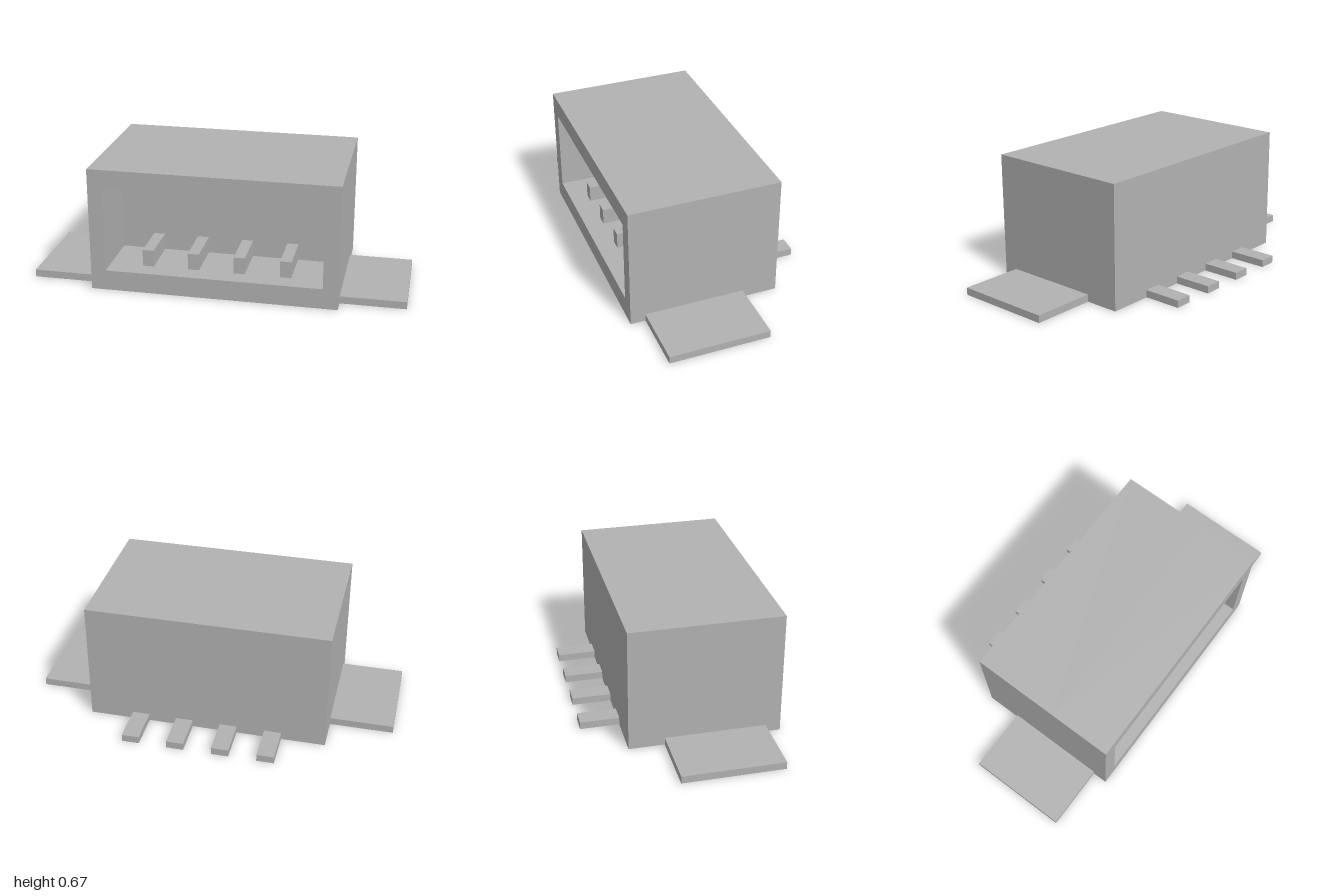
import * as THREE from 'three';

export function createModel() {
  const model = new THREE.Group();
  const grey = new THREE.MeshStandardMaterial({ color: 0xb2b2b2 });
  grey.name = 'plain grey';

  const W = 0.655, H = 0.67, FRONT = 0.51, BACK = -0.30, CAVITY = 0.17;

  const add = (name, geometry) => {
    const mesh = new THREE.Mesh(geometry, grey);
    mesh.name = name;
    model.add(mesh);
    return mesh;
  };
  // Box given by its extents on each axis
  const box = (name, [x0, x1], [y0, y1], [z0, z1]) =>
    add(name, new THREE.BoxGeometry(x1 - x0, y1 - y0, z1 - z0))
      .position.set((x0 + x1) / 2, (y0 + y1) / 2, (z0 + z1) / 2);

  const rect = (shape, x, y0, y1) =>
    shape.moveTo(-x, y0).lineTo(x, y0).lineTo(x, y1).lineTo(-x, y1).closePath();

  // Hollow front of the housing, open towards the plug side
  const frame = rect(new THREE.Shape(), W, 0, H);
  frame.holes.push(rect(new THREE.Path(), 0.575, 0.11, 0.565));
  add('housingFrame', new THREE.ExtrudeGeometry(frame, { depth: FRONT - CAVITY, bevelEnabled: false }))
    .position.z = CAVITY;

  // Solid rear of the housing, closing the cavity
  box('housingRear', [-W, W], [0, H], [BACK, CAVITY]);

  // Flat mounting tabs on both sides
  box('leftMountingTab', [W, 1], [0, 0.04], [-0.11, 0.43]);
  box('rightMountingTab', [-1, -W], [0, 0.04], [-0.11, 0.43]);

  // Contact pins in the cavity and solder leads at the back
  for (let i = 0; i < 4; i++) {
    const x = (i - 1.5) * 0.246;
    box(`contactPin${i + 1}`, [x - 0.03, x + 0.03], [0.11, 0.2], [CAVITY, 0.41]);
    box(`solderLead${i + 1}`, [x - 0.047, x + 0.047], [0, 0.04], [-0.51, BACK]);
  }
  return model;
}
